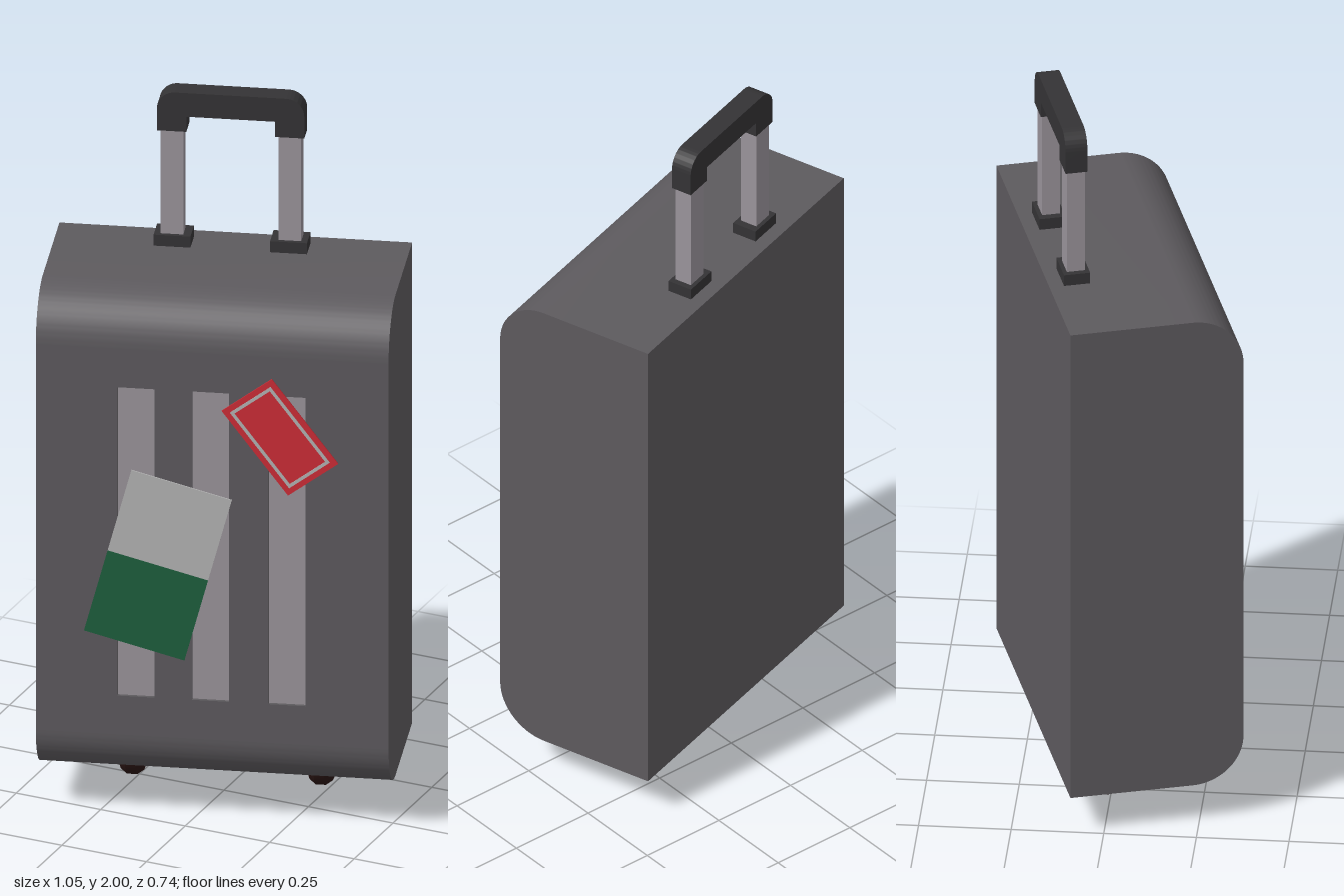
import * as THREE from 'three';
import { toCreasedNormals } from 'three/addons/utils/BufferGeometryUtils.js';

const W = 0.957, D = 0.476, Y0 = 0.12, Y1 = 1.545, R = 0.14;
const FRONT = D / 2, SLOT_DEPTH = 0.012;

const material = (color) => new THREE.MeshStandardMaterial({ color, roughness: 0.8 });

export function createModel() {
  const shellMat = material(0x5d5a5e);
  const metalMat = material(0x9a949b);
  const darkMat = material(0x343335);
  const wheelMat = material(0x2b1614);
  const redMat = material(0xcc2c36);
  const greenMat = material(0x1d5f3d);
  const whiteMat = material(0xb4b4b4);

  const suitcase = new THREE.Group();
  suitcase.name = 'suitcase';

  const add = (name, geometry, mat, x = 0, y = 0, z = 0, parent = suitcase) => {
    const mesh = new THREE.Mesh(geometry, mat);
    mesh.name = name;
    mesh.position.set(x, y, z);
    parent.add(mesh);
    return mesh;
  };
  const box = (w, h, d) => new THREE.BoxGeometry(w, h, d);
  const rect = (w, h, Type = THREE.Shape) => new Type([
    new THREE.Vector2(-w / 2, -h / 2), new THREE.Vector2(w / 2, -h / 2),
    new THREE.Vector2(w / 2, h / 2), new THREE.Vector2(-w / 2, h / 2),
  ]);
  const extrude = (shape, depth) => toCreasedNormals(
    new THREE.ExtrudeGeometry(shape, { depth, bevelEnabled: false, curveSegments: 16 }), 0.6);

  // Body: side profile with rounded front edges, stepped back behind the front panel
  const profile = new THREE.Shape();
  profile.moveTo(-FRONT, Y0);
  profile.lineTo(FRONT - R, Y0);
  profile.absarc(FRONT - R, Y0 + R, R, -Math.PI / 2, 0, false);
  profile.lineTo(FRONT - SLOT_DEPTH, Y0 + R);
  profile.lineTo(FRONT - SLOT_DEPTH, Y1 - R);
  profile.lineTo(FRONT, Y1 - R);
  profile.absarc(FRONT - R, Y1 - R, R, 0, Math.PI / 2, false);
  profile.lineTo(-FRONT, Y1);
  const body = extrude(profile, W);
  body.rotateY(-Math.PI / 2);
  add('body', body, shellMat, W / 2);

  // Front panel with three slots, and the light strips at the bottom of them
  const midY = (Y0 + Y1) / 2, slotW = 0.1, slotH = 0.915;
  const panel = rect(W, Y1 - Y0 - 2 * R);
  for (const x of [-0.207, -0.005, 0.203]) {
    const hole = rect(slotW, slotH, THREE.Path);
    panel.holes.push(new THREE.Path(hole.getPoints().map((p) => p.add(new THREE.Vector2(x, 0)))));
    add('slotStrip', new THREE.PlaneGeometry(slotW, slotH), metalMat, x, midY, FRONT - SLOT_DEPTH + 0.003);
  }
  add('frontPanel', extrude(panel, SLOT_DEPTH), shellMat, 0, midY, FRONT - SLOT_DEPTH);

  // Two-tone sticker, white above green
  const sticker = new THREE.Group();
  sticker.name = 'twoToneSticker';
  sticker.position.set(-0.147, 0.77, FRONT + 0.002);
  sticker.rotation.z = -0.26;
  add('stickerTop', box(0.282, 0.25, 0.004), whiteMat, 0, 0.125, 0, sticker);
  add('stickerBottom', box(0.282, 0.25, 0.004), greenMat, 0, -0.125, 0, sticker);
  suitcase.add(sticker);

  // Red sticker with a pale frame
  const label = new THREE.Group();
  label.name = 'redSticker';
  label.position.set(0.184, 1.17, FRONT + 0.002);
  label.rotation.z = 0.644;
  add('labelBase', box(0.17, 0.3, 0.004), redMat, 0, 0, 0, label);
  const frame = rect(0.138, 0.268);
  frame.holes.push(rect(0.12, 0.25, THREE.Path));
  add('labelFrame', extrude(frame, 0.0015), whiteMat, 0, 0, 0.002, label);
  suitcase.add(label);

  // Telescopic handle: collars, posts and a U-shaped grip
  const handle = new THREE.Group();
  handle.name = 'handle';
  handle.position.z = -0.162;
  for (const side of [-1, 1]) {
    add('collar', box(0.1, 0.035, 0.072), darkMat, side * 0.158, Y1 + 0.015, 0, handle);
    add('post', box(0.062, 0.36, 0.049), metalMat, side * 0.16, 1.735, 0, handle);
  }
  const grip = new THREE.Shape();
  grip.moveTo(-0.2, 1.885);
  grip.lineTo(-0.12, 1.885);
  grip.lineTo(-0.12, 1.93);
  grip.lineTo(0.12, 1.93);
  grip.lineTo(0.12, 1.885);
  grip.lineTo(0.2, 1.885);
  grip.absarc(0.15, 1.95, 0.05, 0, Math.PI / 2, false);
  grip.absarc(-0.15, 1.95, 0.05, Math.PI / 2, Math.PI, false);
  add('grip', extrude(grip, 0.06), darkMat, 0, 0, -0.03, handle);
  suitcase.add(handle);

  // Wheels with a rounded tread, each under a mounting plate
  const tread = [[0, -0.038], [0.055, -0.038], [0.076, -0.03], [0.088, -0.014],
    [0.088, 0.014], [0.076, 0.03], [0.055, 0.038], [0, 0.038]];
  const wheel = toCreasedNormals(
    new THREE.LatheGeometry(tread.map(([r, h]) => new THREE.Vector2(r, h)), 28), 0.5);
  wheel.rotateZ(Math.PI / 2);
  for (const side of [-1, 1]) {
    add('wheelPlate', box(0.108, 0.025, 0.18), darkMat, side * 0.256, Y0 - 0.0115, -0.09);
    add('wheel', wheel, wheelMat, side * 0.256, 0.088, -0.09);
  }

  // The whole suitcase stands turned slightly to its left
  suitcase.rotation.y = 0.297;
  const model = new THREE.Group();
  model.name = 'model';
  model.add(suitcase);
  return model;
}
